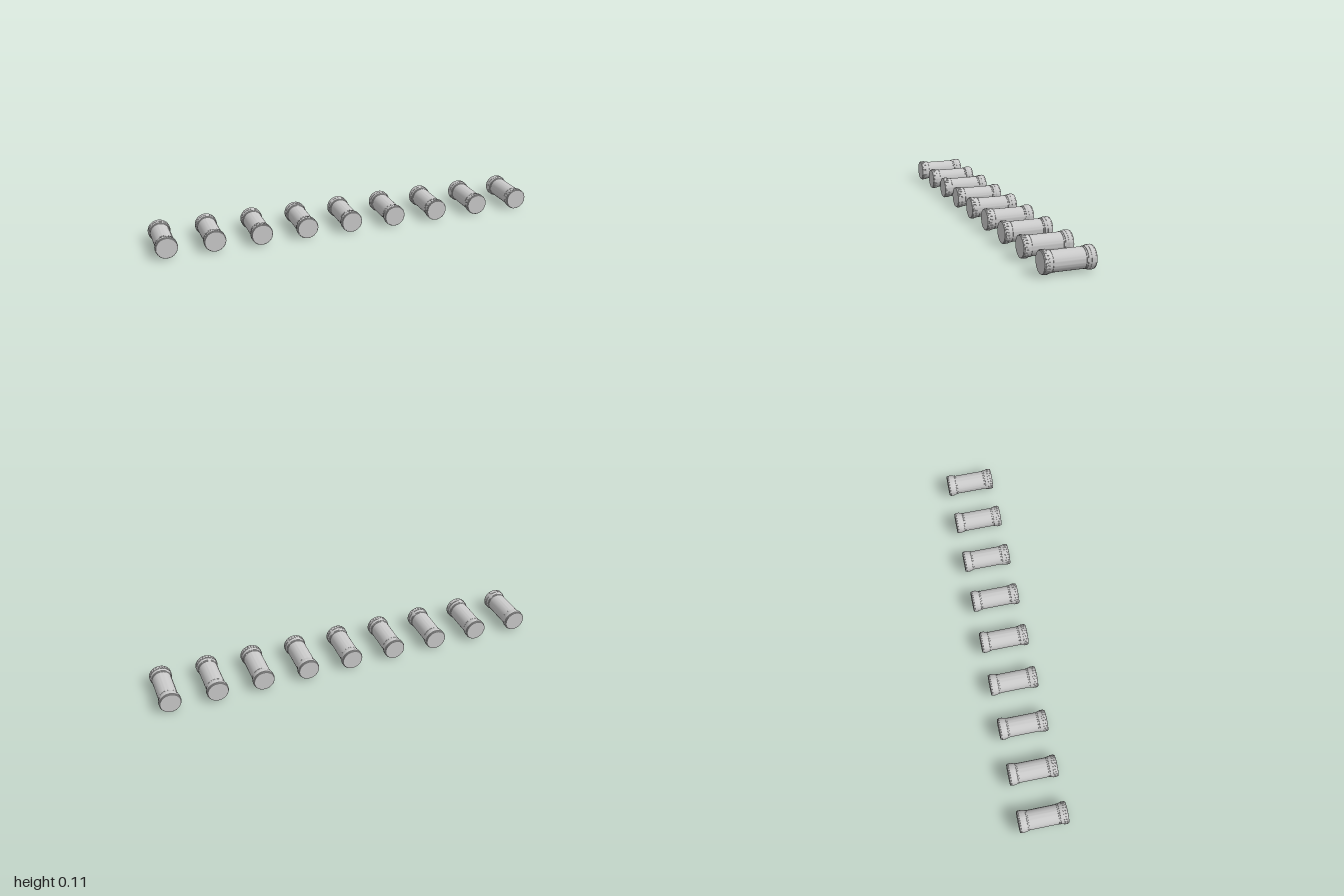
import * as THREE from 'three';
import { toCreasedNormals } from 'three/addons/utils/BufferGeometryUtils.js';

const COUNT = 9, SPACING = 0.2362, RADIUS = 0.0552;
const material = new THREE.MeshStandardMaterial({ color: 0xcccccc });

// Main barrel, as [radius, z] from the back cap to the front cap
function barrelGeometry() {
  const profile = [
    [0, -0.122], [0.0515, -0.122], [0.0525, -0.121], [0.0525, -0.1155],
    [0.0545, -0.1155], [RADIUS, -0.1145], [RADIUS, -0.0965], [0.0545, -0.0955],
    [0.0535, -0.0955], [0.0515, -0.082], [0.0495, -0.0815], [0.0495, -0.0805],
    [0.0505, -0.08], [0.0505, -0.0745], [0.0488, -0.074],
    [0.0488, 0.074], [0.0505, 0.0745], [0.0505, 0.08], [0.0495, 0.0805],
    [0.0495, 0.0815], [0.0507, 0.082], [0.0512, 0.086], [0.0535, 0.096],
    [0.0535, 0.117], [0.0525, 0.117], [0.0525, 0.121], [0.0515, 0.122], [0, 0.122],
  ].map(([r, z]) => new THREE.Vector2(r, z));
  const geometry = new THREE.LatheGeometry(profile, 48).rotateX(Math.PI / 2);
  return toCreasedNormals(geometry, 0.5);
}

// Front grip collar: raised pads separated by narrow grooves
function gripGeometry(pads = 24) {
  const shape = new THREE.Shape();
  const step = (Math.PI * 2) / pads;
  for (let i = 0; i < pads; i++) {
    const corners = [[0.0537, 0], [RADIUS, 0.04], [RADIUS, 0.41], [RADIUS, 0.78], [0.0537, 0.82]];
    corners.forEach(([r, t], j) => {
      const a = (i + t) * step;
      shape[i + j ? 'lineTo' : 'moveTo'](r * Math.cos(a), r * Math.sin(a));
    });
  }
  shape.closePath();
  shape.holes.push(new THREE.Path().absarc(0, 0, 0.05, 0, Math.PI * 2, true));
  const geometry = new THREE.ExtrudeGeometry(shape, { depth: 0.0195, bevelEnabled: false, curveSegments: 24 });
  return toCreasedNormals(geometry.translate(0, 0, 0.097), 0.5);
}

export function createModel() {
  const model = new THREE.Group();
  model.name = 'canisterRow';
  const barrel = barrelGeometry();
  const grip = gripGeometry();

  // Identical canisters in an evenly spaced row
  for (let i = 0; i < COUNT; i++) {
    const canister = new THREE.Group();
    canister.name = `canister${i + 1}`;
    for (const [name, geometry] of [['barrel', barrel], ['gripCollar', grip]]) {
      const mesh = new THREE.Mesh(geometry, material);
      mesh.name = name;
      canister.add(mesh);
    }
    canister.position.set((i - (COUNT - 1) / 2) * SPACING, RADIUS, 0);
    model.add(canister);
  }
  return model;
}
